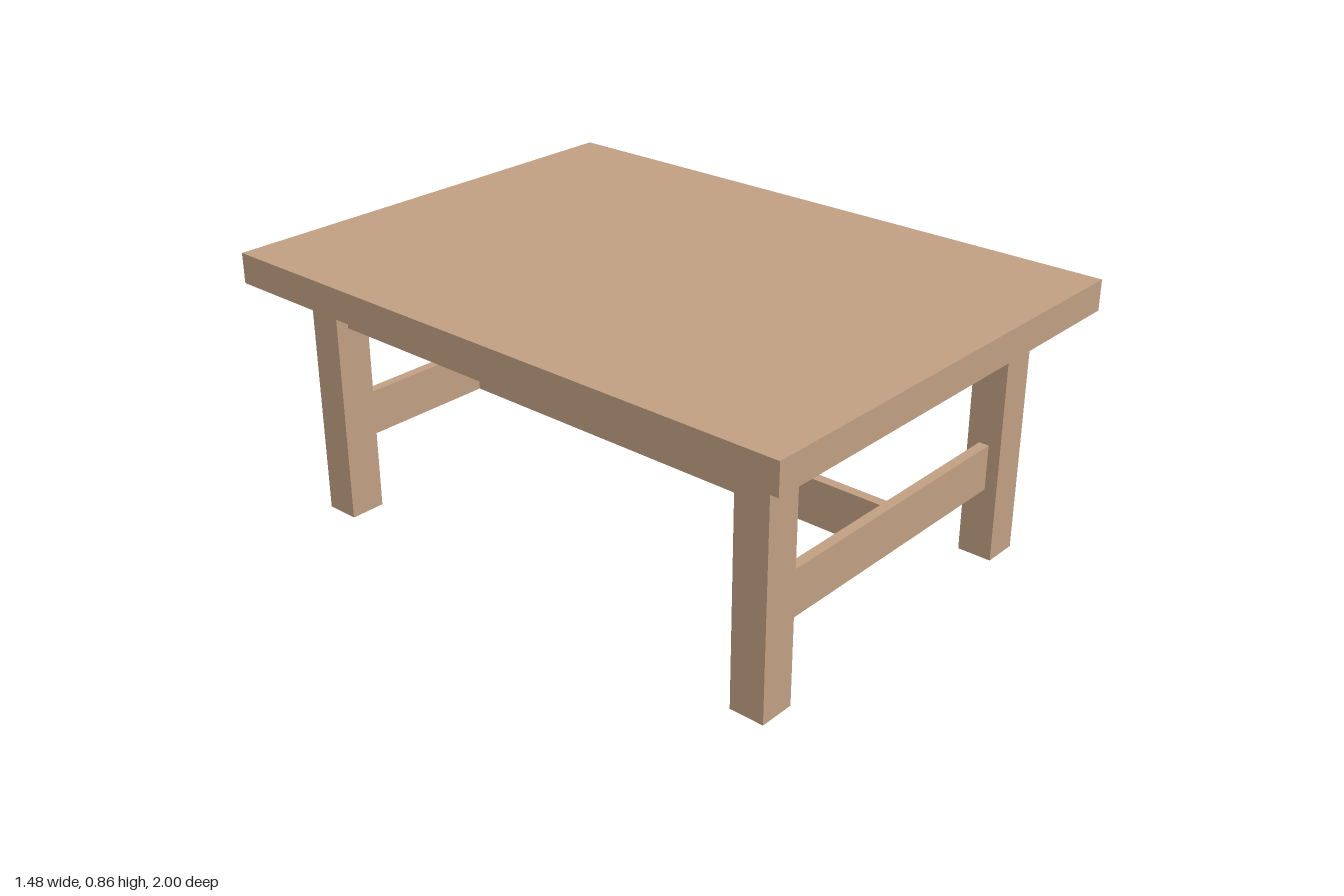
import * as THREE from 'three';

export function createModel() {
  const table = new THREE.Group();
  table.name = 'table';
  const wood = new THREE.MeshStandardMaterial({ color: 0xbf9f82 });
  wood.name = 'light wood';

  const LEG_X = 0.545, LEG_Z = 0.815;   // leg centres
  const LEG_W = 0.115, LEG_D = 0.11;    // leg section
  const TOP_Y = 0.765, TOP_H = 0.095;   // underside and thickness of the top
  const RAIL = 0.032;                   // board thickness of aprons and stretchers

  function board(name, w, h, d, x, bottom, z) {
    const mesh = new THREE.Mesh(new THREE.BoxGeometry(w, h, d), wood);
    mesh.name = name;
    mesh.position.set(x, bottom + h / 2, z);
    table.add(mesh);
  }

  board('tableTop', 1.48, TOP_H, 2, 0, TOP_Y, 0);

  const spanX = 2 * LEG_X - LEG_W;
  const spanZ = 2 * LEG_Z - LEG_D;
  for (const s of [-1, 1]) {
    const side = s > 0 ? 'left' : 'right';
    const end = s > 0 ? 'front' : 'back';

    // Legs at this side
    board(side + 'FrontLeg', LEG_W, TOP_Y, LEG_D, s * LEG_X, 0, LEG_Z);
    board(side + 'BackLeg', LEG_W, TOP_Y, LEG_D, s * LEG_X, 0, -LEG_Z);

    // Aprons under the top, centred on the legs
    board(side + 'Apron', RAIL, 0.135, spanZ, s * LEG_X, 0.63, 0);
    board(end + 'Apron', spanX, 0.135, RAIL, 0, 0.63, s * LEG_Z);

    // Low stretcher across each end
    board(end + 'Stretcher', spanX, 0.145, RAIL, 0, 0.228, s * LEG_Z);
  }

  // Long stretcher joining the two end stretchers
  board('centreStretcher', RAIL, 0.145, 2 * LEG_Z - RAIL, 0, 0.228, 0);

  return table;
}
